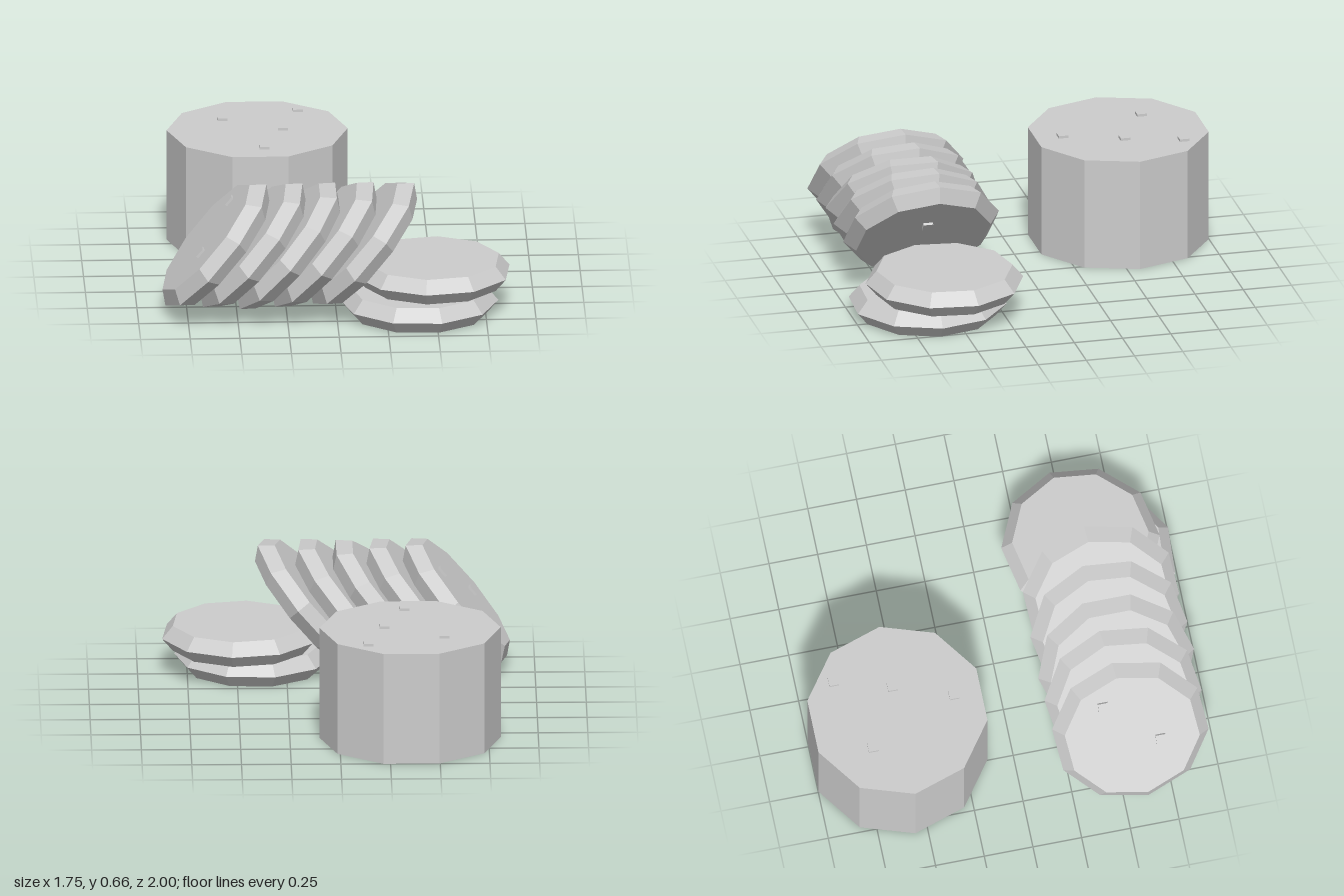
import * as THREE from 'three';

const grey = new THREE.MeshStandardMaterial({ color: 0xcccccc, flatShading: true });
grey.name = 'plain grey';
const deg = Math.PI / 180;

// Ten-sided disc with a rim that bulges at mid height
const R = 0.4, r = 0.345, H = 0.13;
const discGeometry = new THREE.LatheGeometry([
  new THREE.Vector2(0, -H / 2),
  new THREE.Vector2(r, -H / 2),
  new THREE.Vector2(R, 0),
  new THREE.Vector2(r, H / 2),
  new THREE.Vector2(0, H / 2),
], 10);
discGeometry.rotateY(Math.PI / 2); // corner on the x axis

const crumbGeometry = new THREE.BoxGeometry(0.05, 0.026, 0.05);

function addCrumb(parent, x, y, z) {
  const crumb = new THREE.Mesh(crumbGeometry, grey);
  crumb.name = 'crumb';
  crumb.position.set(x, y, z);
  parent.add(crumb);
}

// Disc group: tilt about z, spin about its own axis
function makeDisc(name, x, y, z, tilt, spin) {
  const group = new THREE.Group();
  group.name = name;
  group.position.set(x, y, z);
  group.rotation.z = tilt * deg;
  const disc = new THREE.Mesh(discGeometry, grey);
  disc.name = name + 'Disc';
  disc.rotation.y = spin * deg;
  group.add(disc);
  return group;
}

export function createModel() {
  const model = new THREE.Group();
  model.name = 'drumAndDiscs';

  // Tall ten-sided drum with crumbs on its top
  const drum = new THREE.Group();
  drum.name = 'drum';
  drum.position.set(-0.355, 0, -0.565);
  const body = new THREE.Mesh(new THREE.CylinderGeometry(0.456, 0.456, 0.58, 10), grey);
  body.name = 'drumBody';
  body.position.y = 0.29;
  body.rotation.y = Math.PI / 2;
  drum.add(body);
  for (const [x, z] of [[-0.17, -0.16], [0.215, -0.285], [0.13, 0], [0.025, 0.295]]) {
    addCrumb(drum, x, 0.58, z);
  }
  model.add(drum);

  // Two discs lying flat, one on the other
  model.add(makeDisc('lowerFlatDisc', 0.415, H / 2, 0.615, 0, -3));
  model.add(makeDisc('upperFlatDisc', 0.485, H * 1.5, 0.545, 0, 11.5));

  // Row of five discs leaning on the flat pair
  const row = [
    [-0.605, 0.355, 6],
    [-0.42, 0.352, 10],
    [-0.245, 0.346, 18],
    [-0.06, 0.352, 12],
    [0.138, 0.355, 5],
  ].map(([x, y, spin]) => makeDisc('leaningDisc', x, y, 0.58, 50, spin));
  model.add(...row);

  // Crumbs on the outer faces of the row
  addCrumb(row[0], 0.194, H / 2, -0.125);
  addCrumb(row[0], -0.047, H / 2, 0.14);
  addCrumb(row[4], 0.127, -H / 2, 0);

  return model;
}
